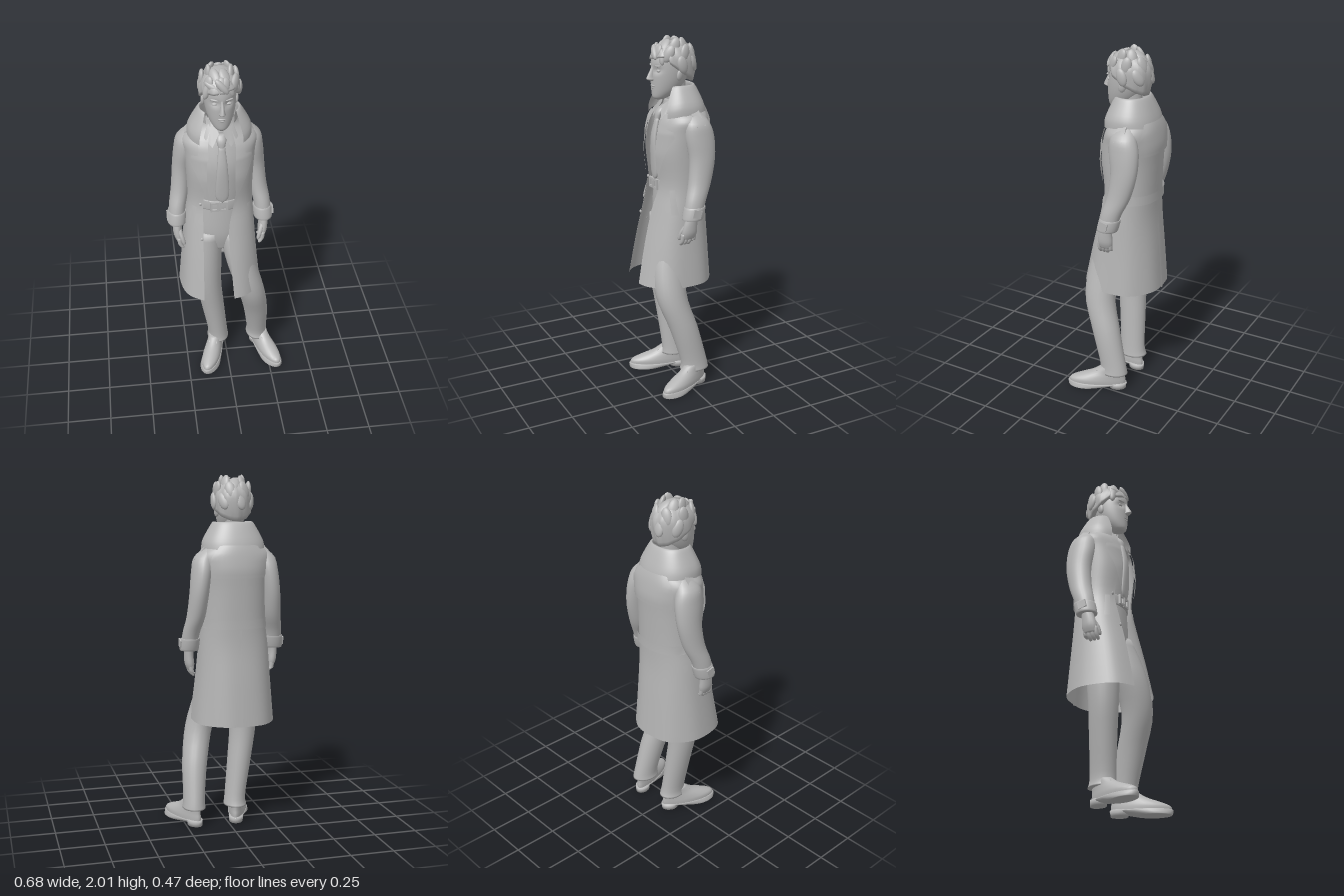
import * as THREE from 'three';
import { mergeGeometries } from 'three/addons/utils/BufferGeometryUtils.js';

const grey = new THREE.MeshStandardMaterial({ color: 0xb4b4b4, side: THREE.DoubleSide });
grey.name = 'plain grey';
const CX = -0.035; // middle of the upper body

// Smoothly interpolate a list of number rows
function blend(keys, u) {
  const f = Math.min(u, 0.99999) * (keys.length - 1), i = Math.floor(f), t = f - i;
  const k = n => keys[Math.max(0, Math.min(keys.length - 1, n))];
  return keys[i].map((b, c) => {
    const a = k(i - 1)[c], d = k(i + 1)[c], e = k(i + 2)[c];
    return b + 0.5 * t * (d - a + t * (2 * a - 5 * b + 4 * d - e + t * (3 * (b - d) + e - a)));
  });
}

// Skin rows of points into a surface, optionally wrapped round and capped
function skin(rows, wrap = false, caps = false) {
  const m = rows[0].length, pos = rows.flat(2), idx = [];
  for (let i = 0; i < rows.length - 1; i++) for (let j = 0; j < (wrap ? m : m - 1); j++) {
    const a = i * m + j, b = i * m + (j + 1) % m;
    idx.push(a, b, b + m, a, b + m, a + m);
  }
  if (caps) for (const [r, top] of [[0, false], [rows.length - 1, true]]) {
    const c = pos.length / 3;
    pos.push(...[0, 1, 2].map(k => rows[r].reduce((s, p) => s + p[k], 0) / m));
    for (let j = 0; j < m; j++) {
      const a = r * m + j, b = r * m + (j + 1) % m;
      idx.push(...(top ? [a, b, c] : [b, a, c]));
    }
  }
  const g = new THREE.BufferGeometry();
  g.setAttribute('position', new THREE.Float32BufferAttribute(pos, 3));
  g.setIndex(idx);
  g.computeVertexNormals();
  return g;
}

// Solid of oval sections [x, y, z, rx, rz], listed upwards
function loft(keys, steps = 18, sides = 24, rule = p => p) {
  const rows = [];
  for (let i = 0; i <= steps; i++) {
    const [x, y, z, rx, rz] = blend(keys, i / steps);
    rows.push(Array.from({ length: sides }, (_, j) => {
      const t = j / sides * Math.PI * 2;
      return rule([x + rx * Math.sin(t), y, z + rz * Math.cos(t)]);
    }));
  }
  return skin(rows, true, true);
}

// Coat sections: y, centre x, centre z, rx, rz, right edge x, left edge x
const COAT = [
  [0.61, -0.042, -0.002, 0.238, 0.232, -0.155, 0.02], [0.85, -0.042, -0.018, 0.216, 0.198, -0.15, 0.005],
  [1.05, -0.04, -0.035, 0.2, 0.165, -0.145, 0.0], [1.2, CX, -0.05, 0.185, 0.15, -0.14, 0.03],
  [1.38, CX, -0.045, 0.19, 0.162, -0.125, 0.05], [1.5, CX, -0.055, 0.2, 0.158, -0.12, 0.045],
  [1.57, CX, -0.062, 0.208, 0.14, -0.11, 0.04], [1.62, CX, -0.07, 0.16, 0.12, -0.1, 0.03],
  [1.66, CX, -0.07, 0.115, 0.098, -0.09, 0.02], [1.7, CX, -0.065, 0.095, 0.08, -0.085, 0.015]];
const P = 0.88, pw = (v, p) => Math.sign(v) * Math.abs(v) ** p;

function openRing([y, cx, cz, rx, rz, xr, xl], n = 48) {
  const a = Math.asin(pw((xl - cx) / rx, 1 / P)), b = 2 * Math.PI + Math.asin(pw((xr - cx) / rx, 1 / P));
  return Array.from({ length: n + 1 }, (_, j) => {
    const t = a + (b - a) * j / n;
    return [cx + rx * pw(Math.sin(t), P), y, cz + rz * pw(Math.cos(t), P)];
  });
}

// Depth of the coat at a point, side +1 front or -1 back
function coatZ(x, y, side) {
  let i = 0;
  while (i < COAT.length - 2 && COAT[i + 1][0] < y) i++;
  const t = (y - COAT[i][0]) / (COAT[i + 1][0] - COAT[i][0]);
  const [, cx, cz, rx, rz] = COAT[i].map((v, c) => v + (COAT[i + 1][c] - v) * t);
  const s = Math.min(0.985, (Math.abs(x - cx) / rx) ** (1 / P));
  return cz + side * rz * Math.sqrt(1 - s * s) ** P;
}

// Cloth lying on the coat, rows of [y, x start, x end]
function patch(keys, off, side = 1, steps = 10, cols = 12) {
  const rows = [];
  for (let i = 0; i <= steps; i++) {
    const f = i / steps * (keys.length - 1), k = Math.min(Math.floor(f), keys.length - 2), t = f - k;
    const [y, a, b] = keys[k].map((v, c) => v + (keys[k + 1][c] - v) * t);
    rows.push(Array.from({ length: cols + 1 }, (_, j) => {
      const x = a + (b - a) * (side > 0 ? j : cols - j) / cols;
      return [x, y, coatZ(x, y, side) + side * off];
    }));
  }
  return skin(rows);
}

export function createModel() {
  const model = new THREE.Group();
  model.name = 'standing figure in a long coat';
  const add = (name, geo, parent = model) => {
    const m = new THREE.Mesh(geo, grey);
    m.name = name;
    parent.add(m);
    return m;
  };
  const box = (name, size, at, rot = [0, 0, 0], parent = model) => {
    const m = add(name, new THREE.BoxGeometry(...size), parent);
    m.position.set(...at);
    m.rotation.set(...rot);
    return m;
  };
  const ball = (name, size, at, rot = [0, 0, 0]) => {
    const m = add(name, new THREE.SphereGeometry(1, 16, 12));
    m.scale.set(...size);
    m.position.set(...at);
    m.rotation.set(...rot);
  };

  // Trousers
  add('rightTrouserLeg', loft([[-0.05, 0.1, -0.045, 0.066, 0.085], [-0.052, 0.16, -0.04, 0.06, 0.076],
    [-0.08, 0.36, -0.025, 0.068, 0.08], [-0.106, 0.56, -0.01, 0.076, 0.088], [-0.112, 0.76, -0.012, 0.084, 0.1], [-0.105, 0.98, -0.025, 0.085, 0.11]]));
  add('leftTrouserLeg', loft([[0.198, 0.1, -0.045, 0.067, 0.088], [0.196, 0.16, -0.04, 0.062, 0.08],
    [0.178, 0.36, 0.015, 0.073, 0.085], [0.138, 0.56, 0.075, 0.08, 0.092], [0.08, 0.76, 0.055, 0.085, 0.105], [0.035, 0.98, -0.02, 0.085, 0.11]]));
  add('hips', loft([[CX, 0.87, -0.025, 0.12, 0.09], [CX, 0.98, -0.03, 0.155, 0.115], [CX, 1.17, -0.04, 0.145, 0.118]]));
  add('belt', loft([[CX, 1.155, -0.04, 0.148, 0.124], [CX, 1.16, -0.04, 0.152, 0.128], [CX, 1.21, -0.04, 0.152, 0.128], [CX, 1.215, -0.04, 0.148, 0.124]], 6, 32));
  for (const x of [-0.078, -0.027]) {
    const s = new THREE.Shape([[-0.024, -0.03], [0.024, -0.03], [0.024, 0.03], [-0.024, 0.03]].map(p => new THREE.Vector2(...p)));
    s.holes.push(new THREE.Path([[-0.013, -0.018], [-0.013, 0.018], [0.013, 0.018], [0.013, -0.018]].map(p => new THREE.Vector2(...p))));
    add('beltBuckle', new THREE.ExtrudeGeometry(s, { depth: 0.012, bevelEnabled: false })).position.set(x, 1.185, 0.084);
  }

  // Shoes: heel at the local origin, toe along +z
  for (const [side, hx, hz, tx, tz] of [['right', -0.035, -0.115, -0.15, 0.215], ['left', 0.18, -0.12, 0.3, 0.19]]) {
    const shoe = new THREE.Group(), taper = ([x, y, z]) => [x * (0.72 + 0.9 * Math.max(0, Math.min(z, 0.25))), y, z];
    shoe.name = side + 'Shoe';
    shoe.position.set(hx, 0, hz);
    shoe.rotation.y = Math.atan2(tx - hx, tz - hz);
    add('upper', loft([[0, 0.02, 0.172, 0.058, 0.168], [0, 0.05, 0.17, 0.06, 0.168], [0, 0.075, 0.145, 0.056, 0.14],
      [0, 0.105, 0.105, 0.05, 0.1], [0, 0.14, 0.08, 0.05, 0.07]], 14, 28, taper), shoe);
    add('sole', loft([[0, 0, 0.24, 0.055, 0.1], [0, 0.004, 0.235, 0.064, 0.112], [0, 0.026, 0.175, 0.064, 0.176], [0, 0.032, 0.175, 0.06, 0.172]], 6, 28, taper), shoe);
    add('heel', loft([[0, 0, 0.05, 0.052, 0.05], [0, 0.035, 0.052, 0.056, 0.055]], 2, 20, taper), shoe);
    for (const k of [0, 1, 2]) box('lace', [0.05, 0.008, 0.01], [0, 0.097 + 0.015 * (1 - k), 0.172 + 0.018 * k], [0.6, 0, 0], shoe);
    model.add(shoe);
  }

  // Shirt, neck and tie
  add('shirt', loft([[CX, 1.18, -0.04, 0.14, 0.12], [CX, 1.3, -0.04, 0.155, 0.13], [CX, 1.44, -0.045, 0.17, 0.138],
    [CX, 1.56, -0.055, 0.15, 0.115], [CX, 1.62, -0.05, 0.085, 0.085], [CX, 1.67, -0.045, 0.064, 0.066]]));
  add('neck', loft([[CX, 1.6, -0.05, 0.06, 0.062], [CX, 1.7, -0.04, 0.052, 0.058], [CX, 1.78, -0.035, 0.055, 0.065]], 8));
  add('tie', loft([[CX, 1.215, 0.088, 0.004, 0.008], [CX, 1.26, 0.092, 0.038, 0.011], [CX, 1.44, 0.098, 0.03, 0.012], [CX, 1.57, 0.073, 0.018, 0.012]], 12, 12));
  add('tieKnot', loft([[CX, 1.555, 0.074, 0.016, 0.013], [CX, 1.6, 0.062, 0.027, 0.02], [CX, 1.63, 0.042, 0.02, 0.014]], 6, 12));
  for (const s of [-1, 1]) add('shirtCollar', skin([
    [[CX + s * 0.012, 1.635, 0.052], [CX + s * 0.05, 1.565, 0.078], [CX + s * 0.092, 1.61, 0.045], [CX + s * 0.098, 1.65, -0.04], [CX, 1.66, -0.14]],
    [[CX + s * 0.018, 1.65, 0.036], [CX + s * 0.036, 1.665, 0.022], [CX + s * 0.058, 1.69, 0.0], [CX + s * 0.068, 1.7, -0.045], [CX, 1.71, -0.11]]]));

  // Coat body, with soft skirt folds, and turned-up collar
  const rows = [];
  for (let i = 0; i <= 36; i++) {
    const row = openRing(blend(COAT, i / 36));
    rows.push(row.map(([x, y, z], j) => {
      const f = 1 + 0.018 * Math.sin(j * 0.9) * Math.max(0, 1.1 - y);
      return [CX + (x - CX) * f, y - 0.02 * Math.max(0, 0.9 - y) * (j / 24 - 1), z * f];
    }));
  }
  add('coat', skin(rows));
  const COLLAR = [[1.6, CX, -0.05, 0.178, 0.15, -0.155, 0.085], [1.65, CX, -0.045, 0.172, 0.142, -0.15, 0.08], [1.72, CX, -0.045, 0.135, 0.112, -0.13, 0.06],
    [1.755, CX, -0.045, 0.112, 0.09, -0.12, 0.05], [1.74, CX, -0.045, 0.102, 0.082, -0.115, 0.045], [1.66, CX, -0.06, 0.1, 0.085, -0.11, 0.04]];
  add('coatCollar', skin(Array.from({ length: 16 }, (_, i) => openRing(blend(COLLAR, i / 15)))
    .map(r => r.map(([x, y, z]) => [x, y - 0.25 * Math.max(0, z), z]))));
  for (const s of [-1, 1]) {
    const e = s < 0 ? 0.085 : 0.07, q = x => CX + s * x;
    add('lapel', patch([[1.24, q(0.075), q(0.078)], [1.36, q(e), q(0.125)], [1.48, q(e), q(0.172)], [1.515, q(0.075), q(0.165)], [1.525, q(0.075), q(0.13)], [1.6, q(0.075), q(0.125)]], 0.014, 1, 20));
    add('pocketWelt', patch([[1.04, q(0.168), q(0.188)], [1.18, q(0.142), q(0.162)]], 0.009));
  }
  for (const y of [0.99, 1.2]) ball('button', [0.01, 0.01, 0.005], [-0.155, y, coatZ(-0.155, y, 1) + 0.003]);
  add('backYoke', patch([[1.45, -0.185, 0.115], [1.47, -0.19, 0.12], [1.56, -0.195, 0.125], [1.63, -0.14, 0.07]], 0.012, -1));
  add('backBelt', patch([[1.165, -0.218, 0.148], [1.17, -0.219, 0.149], [1.215, -0.219, 0.149], [1.22, -0.218, 0.148]], 0.012, -1, 6, 24));
  add('backPleat', patch([[0.61, -0.045, -0.03], [1.16, -0.045, -0.03]], 0.006, -1, 10, 2));

  // Sleeves, cuffs, shoulder straps and hands
  for (const s of [-1, 1]) {
    const side = s < 0 ? 'right' : 'left';
    const at = k => k.map(([x, ...r]) => [CX + s * x, ...r]);
    add(side + 'Sleeve', loft(at([[0.25, 1.04, -0.02, 0.046, 0.054], [0.243, 1.13, -0.042, 0.048, 0.06], [0.222, 1.23, -0.078, 0.052, 0.068],
      [0.208, 1.36, -0.1, 0.054, 0.078], [0.192, 1.48, -0.092, 0.058, 0.088], [0.177, 1.56, -0.082, 0.055, 0.074], [0.14, 1.615, -0.08, 0.03, 0.04]]), 24));
    add(side + 'Cuff', loft(at([[0.25, 1.03, -0.018, 0.046, 0.054], [0.25, 1.035, -0.02, 0.054, 0.062], [0.246, 1.095, -0.035, 0.054, 0.063], [0.245, 1.1, -0.037, 0.048, 0.058]]), 8));
    box(side + 'CuffStrap', [0.01, 0.045, 0.05], [CX + s * 0.302, 1.07, -0.022], [-0.25, 0, 0]);
    box(side + 'ShoulderStrap', [0.012, 0.125, 0.052], [CX + s * 0.19, 1.59, -0.075], [0.12, 0, s * 0.72]);
    const parts = [loft(at([[0.24, 0.915, 0, 0.018, 0.04], [0.245, 0.95, -0.003, 0.027, 0.046], [0.25, 1.0, -0.008, 0.026, 0.04], [0.25, 1.05, -0.018, 0.027, 0.032]]), 10, 16)];
    for (let k = 0; k < 4; k++) {
      const z = -0.034 + k * 0.023, low = 0.875 + (k === 0 ? 0.015 : 0);
      parts.push(loft(at([[0.222, low, z + 0.004, 0.005, 0.005], [0.226, low + 0.008, z + 0.004, 0.011, 0.011], [0.238, 0.905, z + 0.002, 0.013, 0.012], [0.243, 0.945, z, 0.014, 0.012]]), 8, 10));
    }
    parts.push(loft(at([[0.215, 0.905, 0.045, 0.005, 0.005], [0.217, 0.915, 0.045, 0.011, 0.011], [0.228, 0.955, 0.037, 0.013, 0.013], [0.242, 0.995, 0.015, 0.014, 0.014]]), 8, 10));
    add(side + 'Hand', mergeGeometries(parts));
  }

  // Head and face, with hollowed eye sockets
  add('head', loft([[CX, 1.675, 0.058, 0.024, 0.03], [CX, 1.69, 0.048, 0.042, 0.052], [CX, 1.73, 0.02, 0.066, 0.084], [CX, 1.79, 0.0, 0.082, 0.106],
    [CX, 1.86, -0.01, 0.087, 0.116], [CX, 1.92, -0.015, 0.08, 0.108], [CX, 1.96, -0.02, 0.05, 0.07]], 36, 48, ([x, y, z]) => {
    const d = Math.exp(-((Math.abs(x - CX) - 0.036) ** 2) / 0.0005 - ((y - 1.84) ** 2) / 0.0003);
    return [x, y, z > 0 ? z - 0.016 * d : z];
  }));
  add('nose', loft([[CX, 1.778, 0.098, 0.012, 0.012], [CX, 1.787, 0.108, 0.018, 0.028], [CX, 1.8, 0.106, 0.014, 0.03], [CX, 1.845, 0.1, 0.009, 0.012], [CX, 1.87, 0.095, 0.008, 0.008]], 14, 14));
  ball('upperLip', [0.024, 0.006, 0.01], [CX, 1.752, 0.099]);
  ball('lowerLip', [0.02, 0.007, 0.01], [CX, 1.74, 0.096]);
  for (const s of [-1, 1]) {
    ball('eye', [0.016, 0.008, 0.01], [CX + s * 0.037, 1.836, 0.083]);
    ball('eyebrow', [0.024, 0.005, 0.008], [CX + s * 0.038, 1.862, 0.09], [0, s * 0.35, s * 0.08]);
    ball('ear', [0.012, 0.034, 0.022], [CX + s * 0.088, 1.815, -0.025], [-0.2, s * 0.3, 0]);
  }

  // Hair: a ridged cap that hangs low at the back, with overlapping locks
  const hair = [], N = 48;
  for (let i = 0; i <= 14; i++) hair.push(Array.from({ length: N }, (_, j) => {
    const t = j / N * Math.PI * 2, c = Math.cos(t);
    const low = c > 0.55 ? 1.9 + 0.02 * Math.sin(t) : c > -0.1 ? 1.83 + 0.1 * c : 1.76 + 0.07 * (1 + c);
    const v = i / 14, y = low + (1.99 - low) * Math.sin(v * Math.PI / 2);
    const h = (y - 1.885) / (y > 1.885 ? 0.106 : 0.23), r = Math.sqrt(Math.max(0, 1 - h * h)) * (1 + 0.035 * Math.sin(j * 1.57 + i * 0.5));
    return [CX + 0.11 * r * Math.sin(t), y, -0.025 + 0.13 * r * c];
  }));
  add('hair', skin(hair, true, true));
  for (let k = 0; k < 22; k++) {
    const t = k * 2.4, ring = k % 3, y = [1.93, 1.87, 1.965][ring], r = [0.093, 0.106, 0.06][ring], c = Math.cos(t);
    if (ring === 1 && c > 0.1) continue;
    ball('hairLock', [0.03, 0.05, 0.017], [CX + r * Math.sin(t), y, -0.025 + r * 1.12 * c], [ring === 2 ? -0.9 * c : -0.3 * c, t, 0.35 * Math.sin(k * 1.7)]);
  }
  for (const [x, y, tilt] of [[-0.045, 1.925, 1.0], [0.0, 1.935, 0.7], [0.045, 1.915, 0.35], [-0.075, 1.9, -0.3]])
    ball('fringe', [0.02, 0.05, 0.018], [CX + x, y, 0.088 - Math.abs(x) * 0.5], [-0.25, x * 8, tilt]);
  return model;
}
